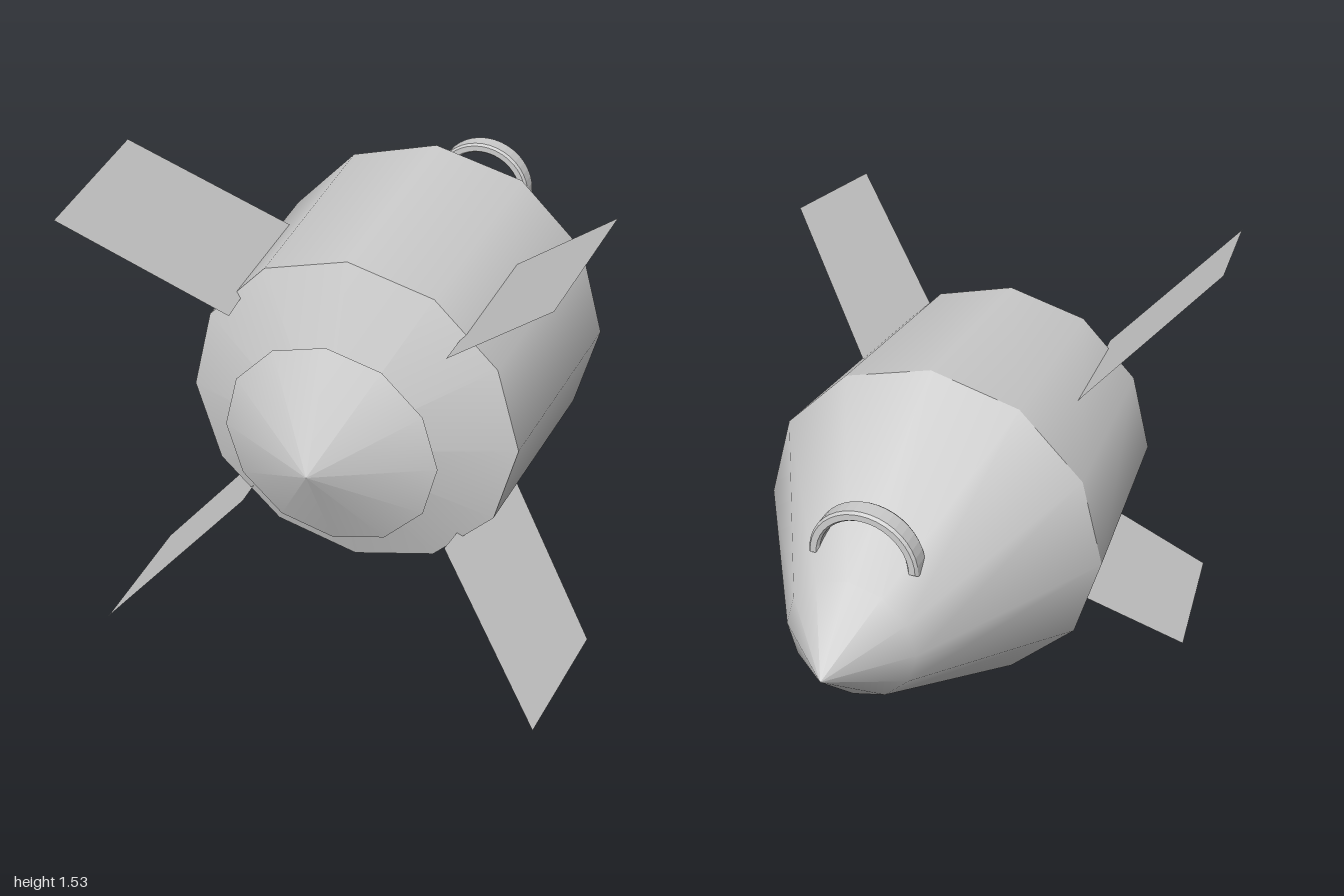
import * as THREE from 'three';

const AXIS_Y = 0.767;
const SIDES = 12;

export function createModel() {
  const model = new THREE.Group();
  model.name = 'rocket';
  const grey = new THREE.MeshStandardMaterial({ color: 0xcccccc, side: THREE.DoubleSide });
  grey.name = 'light grey';

  const add = (name, geometry) => {
    const mesh = new THREE.Mesh(geometry, grey);
    mesh.name = name;
    model.add(mesh);
    return mesh;
  };

  // Twelve-sided hull sections turned about the z axis, as [radius, z] from nose to tail
  const turned = (name, profile) => {
    const points = profile.map(([r, z]) => new THREE.Vector2(r, z));
    const geometry = new THREE.LatheGeometry(points, SIDES).rotateX(Math.PI / 2);
    add(name, geometry).position.y = AXIS_Y;
  };
  turned('noseCone', [[0, -1], [0.215, -0.785], [0.593, -0.135]]);
  turned('body', [[0.593, -0.135], [0.54, 0.625]]);
  turned('tailCone', [[0.54, 0.625], [0, 0.825]]);
  turned('exhaustCone', [[0.345, 0.797], [0, 0.968]]);

  // Four flat swept fins on the diagonals, as [distance from axis, z]
  const outline = [[0.55, 0.197], [1.082, 0.515], [1.025, 1], [0.487, 0.73]];
  const finShape = new THREE.Shape(outline.map(([r, z]) => new THREE.Vector2(r, z)));
  for (let i = 0; i < 4; i++) {
    const geometry = new THREE.ShapeGeometry(finShape)
      .rotateX(Math.PI / 2)
      .rotateZ(Math.PI / 4 + i * Math.PI / 2);
    add('fin' + (i + 1), geometry).position.y = AXIS_Y;
  }

  // Arched carrying handle over the nose
  const arch = new THREE.Shape();
  arch.absarc(0, 0, 0.172, 0, Math.PI, false);
  arch.absarc(0, 0, 0.152, Math.PI, 0, true);
  const handle = new THREE.ExtrudeGeometry(arch, {
    depth: 0.055, curveSegments: 10,
    bevelEnabled: true, bevelThickness: 0.01, bevelSize: 0.007, bevelSegments: 1,
  });
  add('handle', handle).position.set(0, 0.984, -0.678);

  return model;
}
